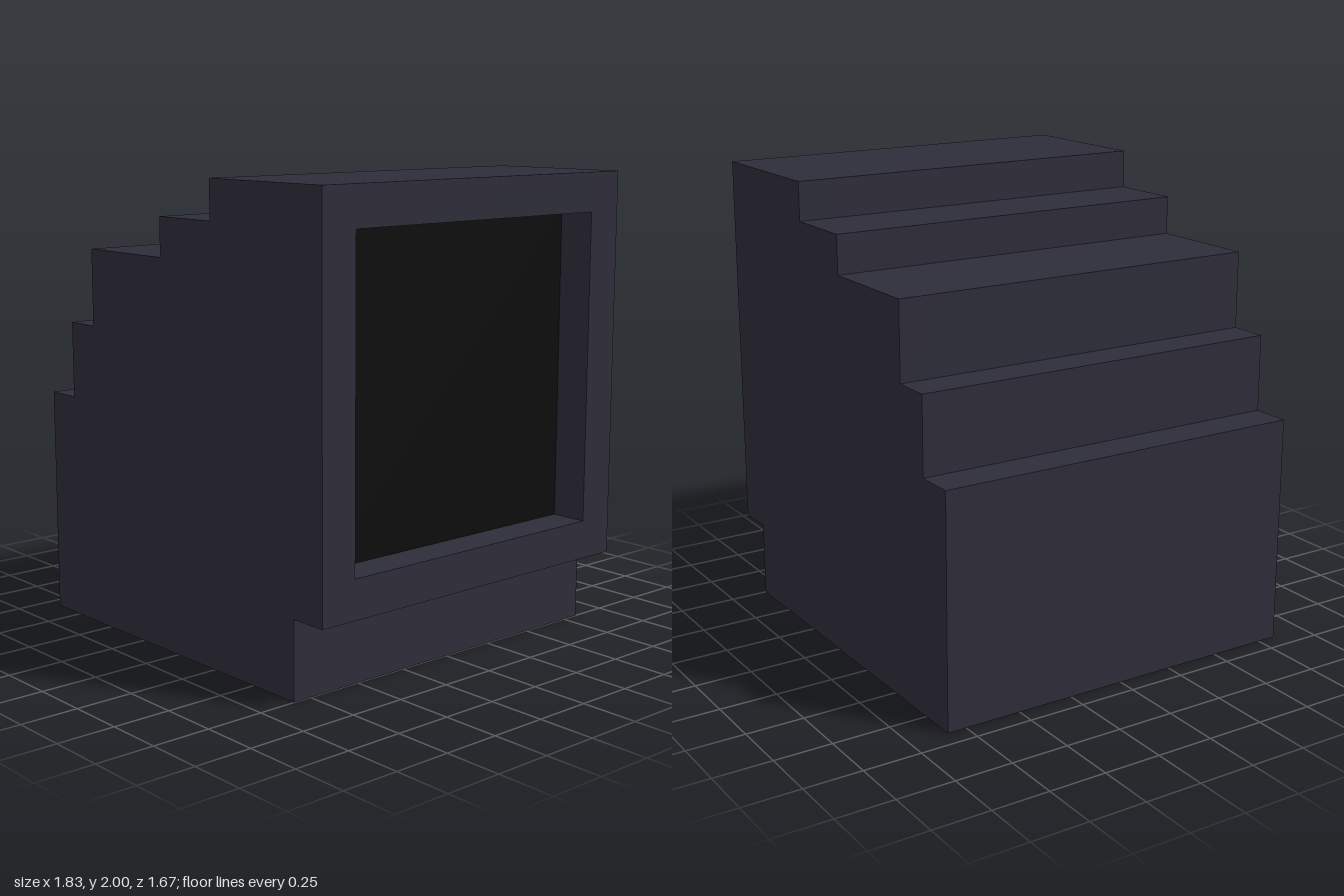
import * as THREE from 'three';

const U = 1 / 6; // one block

// Extrudes an outline given in blocks (x, y) from z0 to z1
function slab(name, points, z0, z1, material) {
  const shape = new THREE.Shape(points.map(([x, y]) => new THREE.Vector2((x - 5.5) * U, y * U)));
  const geometry = new THREE.ExtrudeGeometry(shape, { depth: (z1 - z0) * U, bevelEnabled: false });
  geometry.translate(0, 0, z0 * U);
  const mesh = new THREE.Mesh(geometry, material);
  mesh.name = name;
  return mesh;
}

export function createModel() {
  const group = new THREE.Group();
  group.name = 'steppedCabinet';
  const casing = new THREE.MeshStandardMaterial({ color: 0x2e2d3a });
  casing.name = 'dark slate casing';
  const black = new THREE.MeshStandardMaterial({ color: 0x0d0d0d });
  black.name = 'black panel';

  // Stepped back, shared by every slice
  const steps = [[7, 12], [7, 11], [5, 11], [5, 10], [2, 10], [2, 8], [1, 8], [1, 6], [0, 6], [0, 0]];
  const full = [...steps, [10, 0], [10, 2], [11, 2], [11, 12]];
  // Core slice with the screen recess and the underside recess cut in
  const notched = [...steps, [1, 0], [1, 1], [9, 1], [9, 0], [10, 0], [10, 2], [11, 2], [11, 3],
    [10, 3], [10, 11], [11, 11], [11, 12]];

  group.add(
    slab('frontSidePanel', full, 4, 5, casing),
    slab('backSidePanel', full, -5, -4, casing),
    slab('cabinetCore', notched, -4, 4, casing),
  );

  // Thin black panels on the recess floors
  const thin = 0.004;
  const screen = new THREE.Mesh(new THREE.BoxGeometry(thin, 8 * U, 8 * U), black);
  screen.name = 'screen';
  screen.position.set(4.5 * U + thin / 2, 7 * U, 0);
  const underside = new THREE.Mesh(new THREE.BoxGeometry(8 * U, thin, 8 * U), black);
  underside.name = 'undersidePanel';
  underside.position.set(-0.5 * U, U - thin / 2, 0);
  group.add(screen, underside);
  return group;
}
